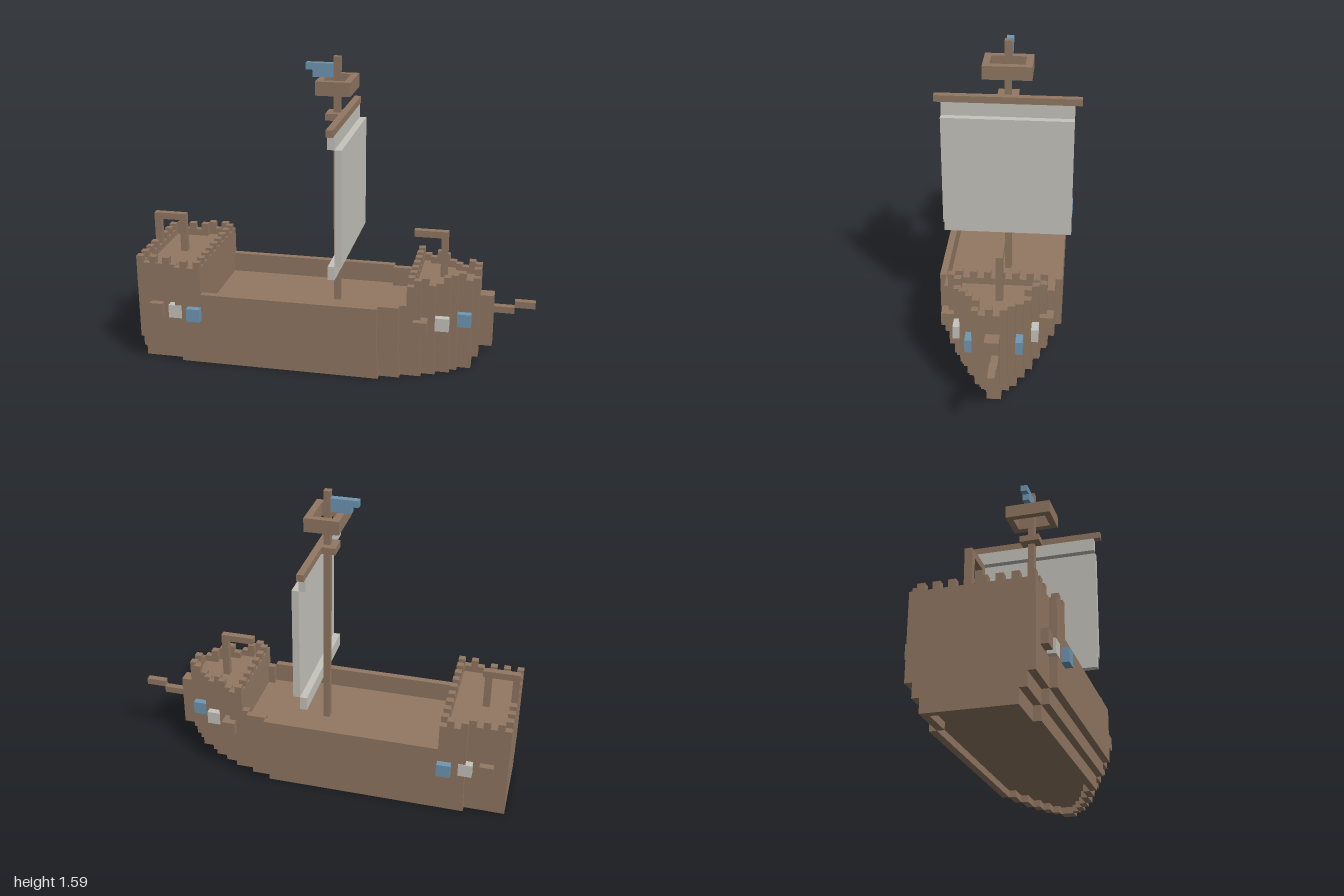
import * as THREE from 'three';
import { mergeGeometries } from 'three/addons/utils/BufferGeometryUtils.js';

const V = 2 / 58; // size of one building block
const MID = 0.5;  // centre line of the hull in z, in blocks

// Hull plan: each segment starts at x with a half width; the next entry ends it.
const PLAN = [[-29, 8], [-23, 9], [7, 8], [10, 7], [13, 6], [15, 5], [17, 4], [18, 3], [20, 2], [21, 1], [23, 0]];

export function createModel() {
  const model = new THREE.Group();
  model.name = 'sailingShip';
  const material = (name, color) => {
    const m = new THREE.MeshStandardMaterial({ color });
    m.name = name;
    return m;
  };
  const wood = material('wood', 0x927863);
  const cream = material('cream', 0xc6c4bc);
  const blue = material('blue', 0x6f97b4);

  // A box given by its limits in blocks.
  const box = (x0, x1, y0, y1, z0, z1) =>
    new THREE.BoxGeometry((x1 - x0) * V, (y1 - y0) * V, (z1 - z0) * V)
      .translate((x0 + x1) * V / 2, (y0 + y1) * V / 2, (z0 + z1) * V / 2);

  const add = (name, mat, boxes) => {
    const mesh = new THREE.Mesh(mergeGeometries(boxes), mat);
    mesh.name = name;
    model.add(mesh);
  };

  // Plan segments between two x limits, narrowed by an inset.
  const segments = (x0, x1, inset = 0) => {
    const out = [];
    for (let i = 0; i < PLAN.length - 1; i++) {
      const a = Math.max(x0, PLAN[i][0]), b = Math.min(x1, PLAN[i + 1][0]);
      const h = PLAN[i][1] - inset;
      if (b > a && h > 0) out.push([a, b, h]);
    }
    return out;
  };

  const solid = (x0, x1, y0, y1, inset) =>
    segments(x0, x1, inset).map(([a, b, h]) => box(a, b, y0, y1, MID - h, MID + h));

  // Side walls one block thick, optionally closed at both ends.
  const walls = (x0, x1, y0, y1, inset, closed) => {
    const segs = segments(x0, x1, inset), out = [];
    for (const [a, b, h] of segs) {
      out.push(box(a, b, y0, y1, MID - h, MID - h + 1), box(a, b, y0, y1, MID + h - 1, MID + h));
    }
    if (closed) {
      const [a, , h] = segs[0], [, b, k] = segs[segs.length - 1];
      if (h > 1) out.push(box(a, a + 1, y0, y1, MID - h + 1, MID + h - 1));
      if (k > 1) out.push(box(b - 1, b, y0, y1, MID - k + 1, MID + k - 1));
    }
    return out;
  };

  // Alternating blocks around the rim of a castle.
  const battlements = (x0, x1, y) => {
    const out = [];
    for (const [a, b, h] of segments(x0, x1)) {
      for (let i = a; i < b; i++) {
        for (let k = -h; k < h; k++) {
          const rim = i === x0 || i === x1 - 1 || k === -h || k === h - 1;
          if (rim && (i + k) % 2 === 0) out.push(box(i, i + 1, y, y + 1, MID + k, MID + k + 1));
        }
      }
    }
    return out;
  };

  // Hull, stepped inward towards the keel
  add('keel', wood, [...walls(-29, 23, 0, 1, 2, true), ...solid(-29, 23, 1, 2, 2)]);
  add('lowerHull', wood, solid(-29, 23, 2, 4, 1));
  add('upperHull', wood, solid(-29, 23, 4, 9, 0));
  add('bulwarks', wood, walls(-19, 11, 9, 12, 0, false));
  add('prow', wood, solid(21, 23, 9, 12, 0));

  // Castles with recessed decks
  add('sternCastle', wood, [...solid(-29, -19, 9, 15, 0), ...walls(-29, -19, 15, 16, 0, true)]);
  add('sternBattlements', wood, battlements(-29, -19, 16));
  add('foreCastle', wood, [...solid(11, 21, 9, 14, 0), ...walls(11, 21, 14, 15, 0, true)]);
  add('foreBattlements', wood, battlements(11, 21, 15));

  // Beams above the castles, and the bowsprit
  add('sternFrame', wood, [
    box(-29, -24, 20, 21, -0.5, 0.5),
    box(-29, -28, 15, 20, -0.5, 0.5),
    box(-25, -24, 15, 20, -0.5, 0.5),
  ]);
  add('foreArm', wood, [box(11, 16, 20, 21, -0.5, 0.5), box(15, 16, 14, 20, -0.5, 0.5)]);
  add('bowsprit', wood, [box(23, 26, 9, 10, -0.5, 0.5), box(26, 29, 10, 11, -0.5, 0.5)]);

  // Shields on both sides: x start, inner and outer distance from the centre line
  const shields = (name, mat, list) => add(name, mat, list.flatMap(([x, a, b]) => [
    box(x, x + 2, 8, 10, MID + a, MID + b),
    box(x, x + 2, 8, 10, MID - b, MID - a),
  ]));
  shields('woodShields', wood, [[-27, 8, 9], [12, 6, 8]]);
  shields('creamShields', cream, [[-24, 8, 9.1], [15, 5, 6]]);
  shields('blueShields', blue, [[-21, 9, 10], [18, 3, 4]]);

  // Mast and rigging
  add('mast', wood, [box(-1, 0, 9, 46, -0.5, 0.5)]);
  add('yard', wood, [box(0, 1, 37, 38, -10.5, 10.5)]);
  add('mastCollar', wood, [
    box(-2, -1, 37, 38, -1.5, 1.5),
    box(-1, 0, 37, 38, 0.5, 1.5),
    box(-1, 0, 37, 38, -1.5, -0.5),
  ]);
  add('crowsNest', wood, [
    box(-3, -2, 41, 43, -3.5, 3.5),
    box(1, 2, 41, 43, -3.5, 3.5),
    box(-2, 1, 41, 43, 2.5, 3.5),
    box(-2, 1, 41, 43, -3.5, -2.5),
  ]);
  add('sail', cream, [
    box(0, 1, 16, 18, -9.5, 9.5),
    box(1, 2, 18, 35, -9.5, 9.5),
    box(0, 1, 35, 37, -9.5, 9.5),
  ]);
  add('flag', blue, [box(-5, -1, 44, 45, -0.5, 0.5), box(-4, -1, 43, 44, -0.5, 0.5)]);

  return model;
}
